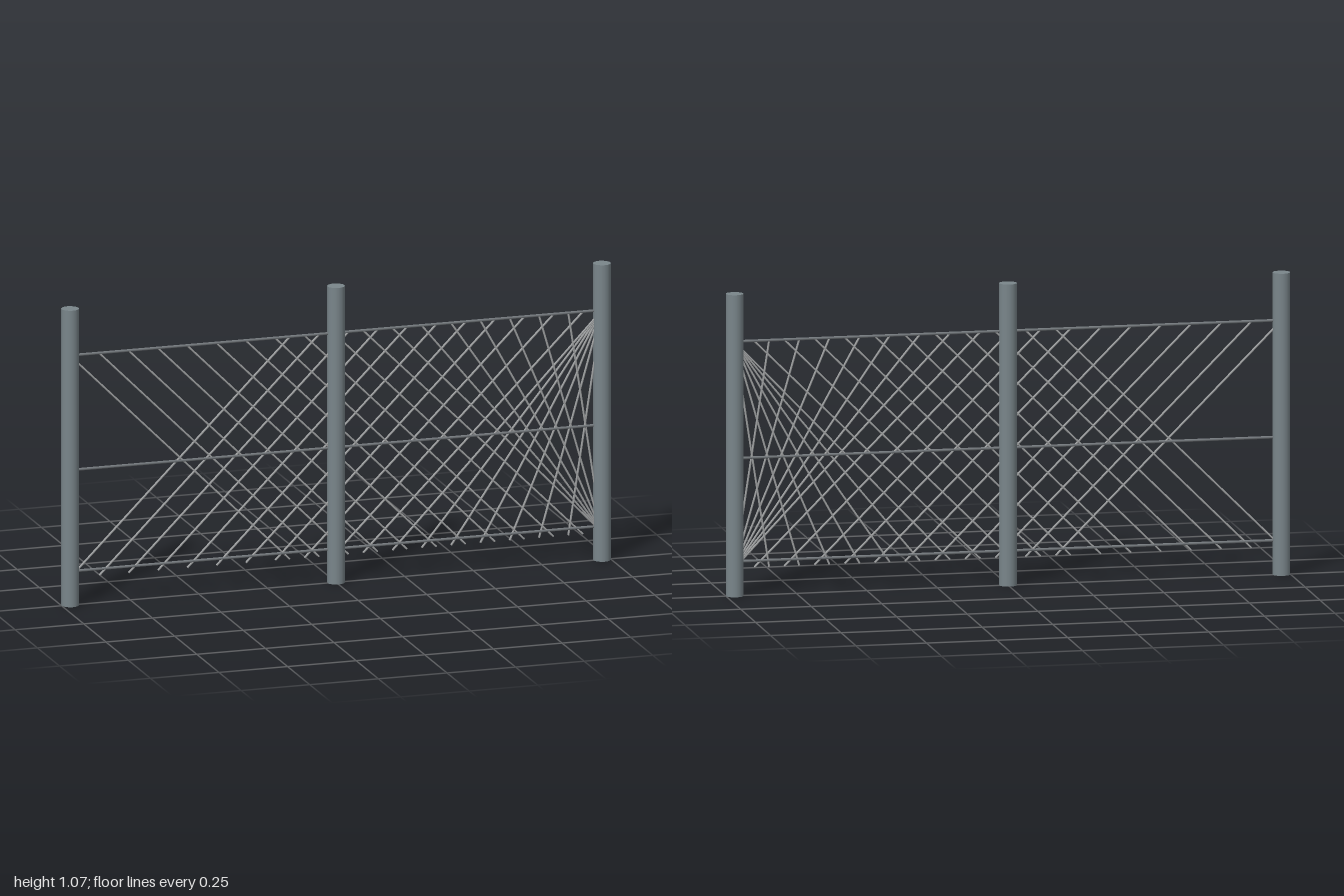
import * as THREE from 'three';

const postMaterial = new THREE.MeshStandardMaterial({ color: 0x7a868b });
postMaterial.name = 'grey post steel';
const railMaterial = new THREE.MeshStandardMaterial({ color: 0x72777b });
railMaterial.name = 'rail wire grey';
const meshMaterial = new THREE.MeshStandardMaterial({ color: 0xa3a5a6 });
meshMaterial.name = 'pale mesh wire';

const SPAN = 0.969;    // distance from centre to the outer posts
const BOTTOM = 0.098;  // lower ends of the diagonal wires
const TOP = 0.896;     // upper ends of the diagonal wires

// Straight round bar between two points in the fence plane
function bar(name, x1, y1, x2, y2, radius, sides, material) {
  const dx = x2 - x1, dy = y2 - y1;
  const mesh = new THREE.Mesh(
    new THREE.CylinderGeometry(radius, radius, Math.hypot(dx, dy), sides), material);
  mesh.position.set((x1 + x2) / 2, (y1 + y2) / 2, 0);
  mesh.rotation.z = Math.atan2(-dx, dy);
  mesh.name = name;
  return mesh;
}

export function createModel() {
  const fence = new THREE.Group();
  fence.name = 'wireFence';

  // Three upright posts
  for (const [name, x] of [['rightPost', -SPAN], ['middlePost', 0], ['leftPost', SPAN]]) {
    fence.add(bar(name, x, 0, x, 1.066, 0.031, 16, postMaterial));
  }

  // Three horizontal rails
  for (const [name, y] of [['bottomRail', 0.121], ['middleRail', 0.485], ['topRail', 0.897]]) {
    fence.add(bar(name, -SPAN, y, SPAN, y, 0.005, 8, railMaterial));
  }

  // Crossing diagonal wires, gathered at the left post where they would overrun it
  const wires = new THREE.Group();
  wires.name = 'diagonalWires';
  for (let i = 0; i < 18; i++) {
    const start = -SPAN + i * 0.1068;
    const end = Math.min(start + 0.80, SPAN);
    wires.add(bar('risingWire', start, BOTTOM, end, TOP, 0.0038, 6, meshMaterial));
    wires.add(bar('fallingWire', start, TOP, end, BOTTOM, 0.0038, 6, meshMaterial));
  }
  fence.add(wires);
  return fence;
}
